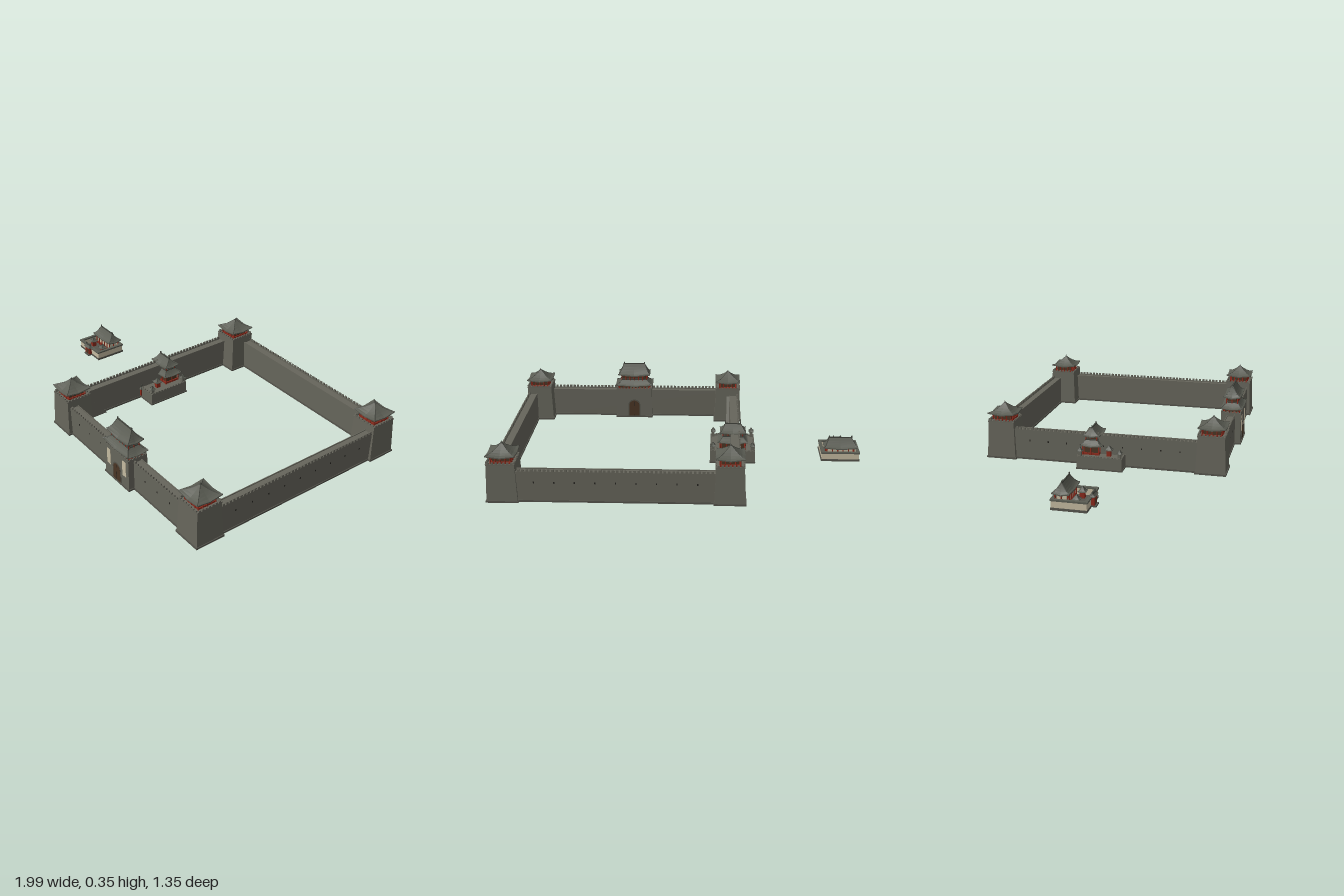
import * as THREE from 'three';
import { mergeGeometries } from 'three/addons/utils/BufferGeometryUtils.js';

const mat = (name, color, side = THREE.FrontSide) => {
  const m = new THREE.MeshStandardMaterial({ color, flatShading: true, side });
  m.name = name;
  return m;
};

export function createModel() {
  const stone = mat('grey brick', 0x66655b);
  const plinthMat = mat('dark stone', 0x55544c);
  const tile = mat('roof tile', 0x5a5c53);
  const ridgeMat = mat('ridge tile', 0x42443d);
  const red = mat('red lacquer', 0x8a2a1c);
  const wood = mat('dark wood', 0x4a3524);
  const plaster = mat('pale plaster', 0xc4baa0);
  const dark = mat('dark opening', 0x25231f);

  const group = (parent, name, x = 0, y = 0, z = 0, ry = 0) => {
    const g = new THREE.Group();
    g.name = name;
    g.position.set(x, y, z);
    g.rotation.y = ry;
    parent.add(g);
    return g;
  };
  const add = (parent, name, geo, m) => {
    const mesh = new THREE.Mesh(geo, m);
    mesh.name = name;
    parent.add(mesh);
    return mesh;
  };
  // Box standing on y, its top optionally drawn in by a taper factor
  const block = (w, h, d, x = 0, y = 0, z = 0, taper = 1) => {
    const g = new THREE.BoxGeometry(w, h, d);
    const p = g.attributes.position;
    for (let i = 0; i < p.count; i++) {
      if (p.getY(i) > 0) p.setXYZ(i, p.getX(i) * taper, p.getY(i), p.getZ(i) * taper);
    }
    return g.translate(x, y + h / 2, z);
  };

  // Row of merlons along x
  const merlonRow = (len, y, z, step = 0.022, h = 0.012) => {
    const out = [], n = Math.floor(len / step);
    for (let i = 0; i < n; i++) out.push(block(step * 0.58, h, 0.007, (i - (n - 1) / 2) * step, y, z));
    return out;
  };
  // Battlement round a rectangle of half sizes a, b
  const battlement = (parent, a, b, y, h) => {
    const all = [];
    for (let k = 0; k < 4; k++) {
      const [len, off] = k % 2 ? [2 * b, a] : [2 * a, b];
      const row = merlonRow(len, y + h * 0.5, off - 0.0035, 0.02, h * 0.5);
      row.push(block(len, h * 0.5, 0.007, 0, y, off - 0.0035));
      all.push(...row.map((g) => g.rotateY((k * Math.PI) / 2)));
    }
    add(parent, 'battlement', mergeGeometries(all), stone);
  };

  // Concave hipped roof with lifted corners: a, b eave half sizes, ra, rb top half sizes
  const roof = (parent, a, b, ra, rb, y, h, lift = 0.008, finial = true) => {
    const g = group(parent, 'roof', 0, y, 0);
    const around = [[-1, 1], [0, 1], [1, 1], [1, 0], [1, -1], [0, -1], [-1, -1], [-1, 0]];
    const ring = (hx, hz, yy, l) => around.map(([u, v]) => [u * hx, yy + (u && v ? l : 0), v * hz]);
    const steps = 5, t0 = Math.min(0.006, h * 0.12);
    const rings = [ring(0, 0, 0, 0), ring(a, b, -t0, lift)];
    for (let i = 0; i <= steps; i++) {
      const t = i / steps;
      rings.push(ring(a + (ra - a) * t, b + (rb - b) * t, h * Math.pow(t, 1.45), lift * (1 - t) ** 2));
    }
    rings.push(ring(0, 0, h, 0));
    const pos = [];
    for (let r = 0; r + 1 < rings.length; r++) {
      for (let i = 0; i < 8; i++) {
        const j = (i + 1) % 8, p = rings[r], q = rings[r + 1];
        pos.push(...p[i], ...p[j], ...q[j], ...p[i], ...q[j], ...q[i]);
      }
    }
    const geo = new THREE.BufferGeometry();
    geo.setAttribute('position', new THREE.Float32BufferAttribute(pos, 3));
    geo.computeVertexNormals();
    add(g, 'tiled slopes', geo, tile);
    // Hip ridges
    const rad = Math.max(0.0015, a * 0.022);
    for (const c of [0, 2, 4, 6]) {
      const pts = rings.slice(2, 3 + steps).map((r) => new THREE.Vector3(...r[c]));
      add(g, 'hip ridge', new THREE.TubeGeometry(new THREE.CatmullRomCurve3(pts), 6, rad, 4), ridgeMat);
    }
    // Crest with upturned ends, or a pointed finial
    if (ra > 0.01) {
      add(g, 'crest', block(2 * ra, 0.008, Math.max(2 * rb, 0.006), 0, h - 0.002, 0), ridgeMat);
      for (const s of [-1, 1]) add(g, 'crest end', block(0.008, 0.014, 0.007, s * (ra - 0.003), h, 0, 0.6), ridgeMat);
    } else if (finial) {
      add(g, 'finial', new THREE.ConeGeometry(0.006, 0.014, 6).translate(0, h + 0.004, 0), ridgeMat);
    }
    return g;
  };

  // Timber storey ringed with red columns
  const storey = (parent, a, b, y, h, nx, nz, core = wood) => {
    add(parent, 'storey', block(2 * a - 0.014, h, 2 * b - 0.014, 0, y, 0), core);
    const cols = [];
    const col = (x, z) => cols.push(new THREE.CylinderGeometry(0.0035, 0.0035, h, 6).translate(x, y + h / 2, z));
    for (let i = 0; i <= nx; i++) for (const s of [-1, 1]) col(-a + (2 * a * i) / nx, s * b);
    for (let i = 1; i < nz; i++) for (const s of [-1, 1]) col(s * a, -b + (2 * b * i) / nz);
    add(parent, 'columns', mergeGeometries(cols), red);
    add(parent, 'rail', block(2 * a, h * 0.22, 2 * b, 0, y, 0), red);
  };

  // Small square pavilion
  const pavilion = (parent, name, x, y, z, s, h, core) => {
    const p = group(parent, name, x, y, z);
    add(p, 'body', block(s * 1.2, h * 0.6, s * 1.2), core);
    roof(p, s, s, 0.001, 0.001, h * 0.58, h * 0.42, 0.003, false);
  };

  const arch = (w, h) => {
    const s = new THREE.Shape();
    s.moveTo(-w / 2, 0);
    s.lineTo(w / 2, 0);
    s.lineTo(w / 2, h - w / 2);
    s.absarc(0, h - w / 2, w / 2, 0, Math.PI, false);
    return new THREE.ExtrudeGeometry(s, { depth: 0.003, bevelEnabled: false, curveSegments: 8 });
  };

  const model = new THREE.Group();
  model.name = 'walledTown';

  // Curtain walls, outer side along local +z
  const walls = [['front', 0.325, 0.607, 0], ['left', 0.95, -0.013, 1], ['back', 0.325, -0.635, 2], ['right', -0.295, -0.013, 3]];
  for (const [side, x, z, k] of walls) {
    const w = group(model, side + 'Wall', x, 0, z, (k * Math.PI) / 2);
    const len = 1.06;
    add(w, 'wall', block(len, 0.165, 0.05), stone);
    add(w, 'plinth', block(len, 0.01, 0.058), plinthMat);
    const parapet = merlonRow(len, 0.17, 0.0215);
    parapet.push(block(len, 0.005, 0.007, 0, 0.165, 0.0215), block(len, 0.005, 0.005, 0, 0.165, -0.0225));
    add(w, 'battlement', mergeGeometries(parapet), stone);
    const holes = [];
    for (let i = -4; i <= 4; i++) if (k || Math.abs(i) > 1) holes.push(block(0.006, 0.01, 0.002, i * 0.105, 0.104, 0.0255));
    add(w, 'loopholes', mergeGeometries(holes), dark);
  }

  // Corner towers
  for (const x of [-0.26, 0.91]) {
    for (const z of [-0.595, 0.573]) {
      const t = group(model, 'cornerTower', x, 0, z);
      add(t, 'plinth', block(0.17, 0.01, 0.17), plinthMat);
      add(t, 'body', block(0.162, 0.205, 0.162, 0, 0, 0, 0.9), stone);
      battlement(t, 0.075, 0.075, 0.204, 0.016);
      storey(t, 0.052, 0.052, 0.205, 0.045, 4, 4);
      roof(t, 0.075, 0.075, 0.002, 0.002, 0.246, 0.056, 0.01);
    }
  }

  // Main gate tower
  const gate = group(model, 'gateTower', 0.325, 0, 0.607);
  add(gate, 'plinth', block(0.228, 0.01, 0.126), plinthMat);
  add(gate, 'body', block(0.22, 0.182, 0.116), stone);
  battlement(gate, 0.11, 0.058, 0.182, 0.013);
  storey(gate, 0.096, 0.046, 0.182, 0.026, 6, 3);
  roof(gate, 0.116, 0.064, 0.078, 0.034, 0.206, 0.032);
  storey(gate, 0.078, 0.032, 0.235, 0.034, 6, 2);
  roof(gate, 0.098, 0.05, 0.066, 0.003, 0.269, 0.064, 0.01);
  for (const ry of [0, Math.PI]) {
    const f = group(gate, 'gateway', 0, 0, 0, ry);
    add(f, 'arch surround', arch(0.076, 0.114).translate(0, 0.004, 0.0565), plinthMat);
    add(f, 'doors', arch(0.062, 0.104).translate(0, 0.006, 0.0578), wood);
    add(f, 'door seam', block(0.002, 0.095, 0.001, 0, 0.008, 0.061), dark);
  }
  for (const s of [-1, 1]) add(gate, 'banner', block(0.032, 0.09, 0.003, s * 0.071, 0.075, 0.059), plaster);

  // Ramp against the inner face of the right wall
  const rampShape = new THREE.Shape([[0, 0], [0.13, 0], [0.13, 0.165]].map(([u, v]) => new THREE.Vector2(u, v)));
  const ramp = add(model, 'ramp', new THREE.ExtrudeGeometry(rampShape, { depth: 0.018, bevelEnabled: false }), stone);
  ramp.rotation.y = -Math.PI / 2;
  ramp.position.set(-0.252, 0, 0.36);

  // Small roofed entrance
  const entrance = (parent, x, y, z, w) => {
    const e = group(parent, 'entrance', x, y, z);
    add(e, 'gatehouse', block(w, 0.045, 0.018), red);
    add(e, 'doorway', block(w * 0.45, 0.03, 0.002, 0, 0, 0.0095), wood);
    roof(e, w * 0.62, 0.015, w * 0.45, 0.002, 0.044, 0.014, 0.003);
  };

  // Temple on a terrace astride the right wall
  const temple = group(model, 'wallTemple', -0.282, 0, -0.017);
  add(temple, 'plinth', block(0.256, 0.008, 0.256), plinthMat);
  add(temple, 'terrace', block(0.25, 0.065, 0.25), stone);
  battlement(temple, 0.125, 0.125, 0.065, 0.012);
  for (const x of [-1, 1]) {
    for (const z of [-1, 1]) pavilion(temple, 'cornerTurret', x * 0.11, 0.065, z * 0.11, 0.014, 0.055, stone);
    pavilion(temple, 'bellPavilion', x * 0.063, 0.065, 0.04, 0.02, 0.06, red);
  }
  const hall = group(temple, 'templeHall', 0, 0, -0.06);
  storey(hall, 0.07, 0.045, 0.065, 0.05, 4, 2);
  roof(hall, 0.085, 0.06, 0.058, 0.034, 0.114, 0.03);
  storey(hall, 0.055, 0.03, 0.14, 0.028, 4, 2);
  roof(hall, 0.073, 0.048, 0.045, 0.003, 0.167, 0.043);
  entrance(temple, 0, 0.015, 0.122, 0.045);

  // Separate walled shrine outside the town
  const shrine = group(model, 'outerShrine', -0.891, 0, -0.01);
  add(shrine, 'base', block(0.216, 0.012, 0.184), plinthMat);
  for (const [w, d, x, z] of [[0.208, 0.008, 0, 0.086], [0.208, 0.008, 0, -0.086], [0.008, 0.172, 0.1, 0], [0.008, 0.172, -0.1, 0]]) {
    add(shrine, 'yard wall', block(w, 0.034, d, x, 0.012, z), plaster);
    add(shrine, 'wall coping', block(w + 0.009, 0.009, d + 0.009, x, 0.046, z), tile);
  }
  const shrineHall = group(shrine, 'shrineHall', 0, 0, -0.045);
  storey(shrineHall, 0.075, 0.032, 0.012, 0.062, 5, 2, plaster);
  roof(shrineHall, 0.092, 0.045, 0.066, 0.003, 0.074, 0.05);
  for (const s of [-1, 1]) pavilion(shrine, 'sidePavilion', s * 0.055, 0.012, 0.025, 0.02, 0.06, red);
  entrance(shrine, 0, 0.008, 0.097, 0.05);
  add(shrine, 'entrance step', block(0.05, 0.008, 0.03, 0, 0, 0.1), plinthMat);
  return model;
}
